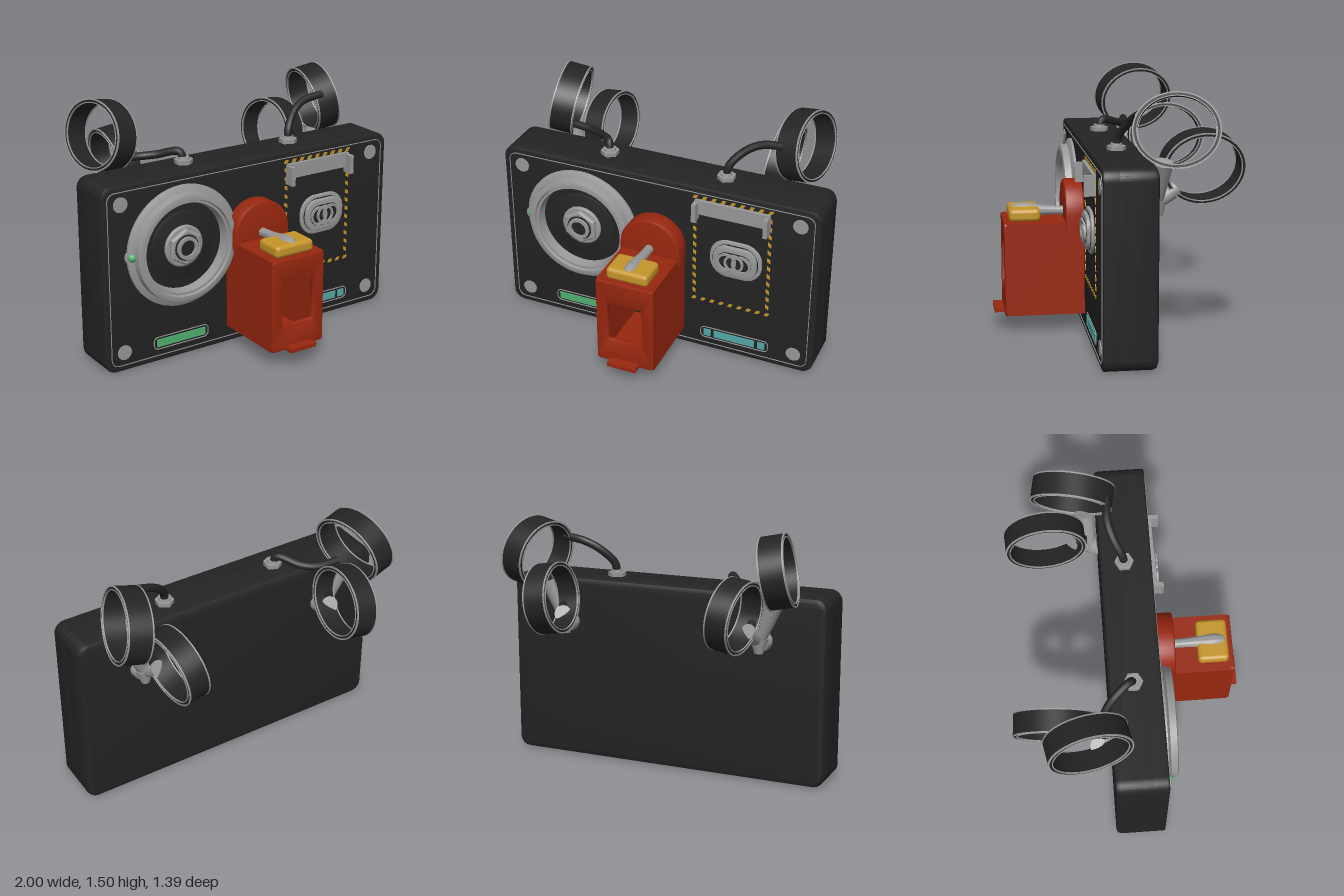
import * as THREE from 'three';
import { toCreasedNormals } from 'three/addons/utils/BufferGeometryUtils.js';
import { RoundedBoxGeometry } from 'three/addons/geometries/RoundedBoxGeometry.js';

const paint = (name, color) => {
  const m = new THREE.MeshStandardMaterial({ color });
  m.name = name;
  return m;
};
const V = (x, y, z) => new THREE.Vector3(x, y, z);
const FACE = 0.16; // z of the front panel

// Rounded rectangle centred on (cx, cy)
function roundRect(w, h, r, cx = 0, cy = 0, Type = THREE.Shape) {
  const s = new Type(), x = w / 2 - r, y = h / 2 - r;
  s.absarc(cx + x, cy + y, r, 0, Math.PI / 2);
  s.absarc(cx - x, cy + y, r, Math.PI / 2, Math.PI);
  s.absarc(cx - x, cy - y, r, Math.PI, Math.PI * 1.5);
  s.absarc(cx + x, cy - y, r, Math.PI * 1.5, Math.PI * 2);
  s.closePath();
  return s;
}

// Extrusion spanning z0..z1, bevelled inwards by b
function slab(shape, z0, z1, b = 0, bt = b) {
  const g = new THREE.ExtrudeGeometry(shape, {
    depth: z1 - z0 - 2 * bt, bevelEnabled: b > 0, bevelSize: b, bevelOffset: -b,
    bevelThickness: bt, bevelSegments: 2, curveSegments: 10,
  });
  return toCreasedNormals(g.translate(0, 0, z0 + bt), 0.6);
}

// Turned part facing +z, from [radius, height] pairs
function turned(points, segments = 48) {
  const g = new THREE.LatheGeometry(points.map(p => new THREE.Vector2(...p)), segments);
  return toCreasedNormals(g.rotateX(Math.PI / 2), 0.5);
}

export function createModel() {
  const model = new THREE.Group();
  model.name = 'controlBox';
  const black = paint('black', 0x242424);
  const grey = paint('grey', 0x989898);
  const red = paint('red', 0x98270f);
  const yellow = paint('yellow', 0xc4952a);
  const green = paint('green', 0x50b070);
  const teal = paint('teal', 0x52a8a6);

  const add = (name, geo, mat, x = 0, y = 0, z = 0, parent = model) => {
    const m = new THREE.Mesh(geo, mat);
    m.name = name;
    m.position.set(x, y, z);
    parent.add(m);
    return m;
  };
  const box = (name, mat, x0, x1, y0, y1, z0, z1) =>
    add(name, new THREE.BoxGeometry(x1 - x0, y1 - y0, z1 - z0), mat, (x0 + x1) / 2, (y0 + y1) / 2, (z0 + z1) / 2);
  const rod = (name, mat, a, b, r0, r1, sides = 20) => {
    const m = add(name, new THREE.CylinderGeometry(r1, r0, a.distanceTo(b), sides), mat);
    m.position.copy(a).lerp(b, 0.5);
    m.quaternion.setFromUnitVectors(V(0, 1, 0), b.clone().sub(a).normalize());
    return m;
  };
  const outline = (name, mat, w, h, r, t, x, y) => {
    const s = roundRect(w, h, r);
    s.holes.push(roundRect(w - 2 * t, h - 2 * t, r - t, 0, 0, THREE.Path));
    add(name, slab(s, 0, 0.004), mat, x, y, FACE);
  };

  // Case: deep chamfer at the back, fine bevel at the front
  add('caseBack', slab(roundRect(2, 1.12, 0.07), -0.145, 0.1, 0.03), black, 0, 0.56);
  add('caseFront', slab(roundRect(2, 1.12, 0.07), 0, FACE, 0.012), black, 0, 0.56);
  outline('panelLine', grey, 1.93, 1.05, 0.05, 0.004, 0, 0.56);
  for (const x of [-0.88, 0.88]) for (const y of [0.115, 1.01])
    add('screw', turned([[0.045, 0], [0.045, 0.005], [0, 0.006]], 24), grey, x, y, FACE);

  // Round dial with a threaded socket in the middle
  const dx = -0.485, dy = 0.69;
  add('dialRing', turned([[0.365, 0], [0.365, 0.015], [0.345, 0.025], [0.33, 0.03], [0.325, 0.07], [0.315, 0.075],
    [0.29, 0.075], [0.285, 0.06], [0.27, 0.06], [0.26, 0.0]], 72), grey, dx, dy, FACE);
  add('dialPlate', turned([[0.21, 0], [0.21, 0.008], [0.2, 0.012], [0, 0.012]]), black, dx, dy, FACE);
  add('socketWasher', turned([[0.125, 0], [0.125, 0.022], [0.115, 0.028], [0, 0.028]]), grey, dx, dy, FACE);
  add('socketNut', turned([[0.112, 0], [0.112, 0.045], [0.1, 0.052], [0, 0.052]], 6), grey, dx, dy, FACE);
  add('socketGroove', turned([[0.078, 0], [0.078, 0.055], [0, 0.055]]), black, dx, dy, FACE);
  add('socketTube', turned([[0.068, 0], [0.068, 0.07], [0.048, 0.07], [0.048, 0.05]]), grey, dx, dy, FACE);
  add('lampBezel', turned([[0.042, 0], [0.042, 0.015], [0, 0.018]], 24), grey, -0.822, dy, FACE);
  add('lamp', new THREE.SphereGeometry(0.027, 20, 12), green, -0.822, dy, FACE + 0.015);

  // Dashed warning border
  const [bx0, bx1, by0, by1] = [0.243, 0.703, 0.353, 1.058];
  const dash = new THREE.Shape([[-0.018, -0.01], [0.006, -0.01], [0.018, 0.01], [-0.006, 0.01]].map(p => new THREE.Vector2(...p)));
  const dashGeo = slab(dash, 0, 0.005);
  for (let i = 0; i < 9; i++) for (const y of [by0, by1])
    add('borderDash', dashGeo, yellow, bx0 + (bx1 - bx0) * i / 8, y, FACE);
  for (let i = 1; i < 13; i++) for (const x of [bx0, bx1])
    add('borderDash', dashGeo, yellow, x, by0 + (by1 - by0) * i / 13, FACE).rotation.z = Math.PI / 2;

  // Slot bracket
  box('bracketBar', grey, 0.245, 0.7, 0.955, 1.045, FACE, 0.182);
  for (const x of [0.255, 0.69]) box('bracketTab', grey, x - 0.013, x + 0.013, 0.92, 1.035, FACE, 0.225);

  // Oblong port with overlapping rings
  const px = 0.505, py = 0.69;
  add('portFlange', slab(roundRect(0.32, 0.25, 0.11), 0, 0.02, 0.008), grey, px, py, FACE);
  add('portGroove', slab(roundRect(0.28, 0.21, 0.1), 0, 0.023), black, px, py, FACE);
  add('portCollar', slab(roundRect(0.268, 0.198, 0.08), 0, 0.042, 0.008), grey, px, py, FACE);
  add('portInset', slab(roundRect(0.21, 0.13, 0.064), 0, 0.044), black, px, py, FACE);
  for (const x of [-0.045, 0, 0.045])
    add('portRing', turned([[0.06, 0], [0.06, 0.055], [0.046, 0.055], [0.046, 0.04]], 32), grey, px + x, py, FACE);

  // Indicator bars
  outline('greenBarFrame', grey, 0.375, 0.08, 0.03, 0.005, -0.5, 0.115);
  box('greenBar', green, -0.665, -0.335, 0.092, 0.138, FACE, 0.167);
  outline('tealBarFrame', grey, 0.435, 0.08, 0.03, 0.005, 0.505, 0.115);
  for (const [a, b] of [[0.31, 0.355], [0.375, 0.635], [0.655, 0.7]])
    box('tealBar', teal, a, b, 0.092, 0.138, FACE, 0.167);

  // Arched red backplate
  const arch = new THREE.Shape();
  arch.moveTo(-0.19, 0.62);
  arch.lineTo(0.19, 0.62);
  arch.lineTo(0.19, 0.7);
  arch.absarc(0, 0.7, 0.19, 0, Math.PI);
  arch.closePath();
  add('archPlate', slab(arch, FACE, 0.27, 0.012), red);

  // Hollow red housing with a window in front
  const front = roundRect(0.36, 0.56, 0.02, 0, 0.385);
  front.holes.push(roundRect(0.21, 0.255, 0.004, 0, 0.388, THREE.Path));
  add('housingFront', slab(front, 0.6, 0.63, 0.008), red);
  for (const s of [-1, 1]) box('housingSide', red, s * 0.165 - 0.015, s * 0.165 + 0.015, 0.107, 0.663, FACE, 0.615);
  box('housingTop', red, -0.165, 0.165, 0.635, 0.664, FACE, 0.615);
  box('housingFloor', red, -0.165, 0.165, 0.106, 0.13, FACE, 0.615);
  box('housingTab', red, -0.09, 0.09, 0.108, 0.132, 0.6, 0.69);

  // Yellow pad and lever
  add('leverPad', new RoundedBoxGeometry(0.26, 0.075, 0.185, 4, 0.025), yellow, 0, 0.698, 0.505);
  const lever = add('lever', turned([[0.028, 0], [0.027, 0.05], [0.03, 0.12], [0.04, 0.2], [0.043, 0.25],
    [0.04, 0.29], [0.025, 0.32], [0, 0.33]], 28), grey, 0, 0.7, 0.26);
  lever.rotation.x = -0.04;

  // Two tilted hoops on each side, with their back mounts
  const ring = pts => {
    const g = new THREE.LatheGeometry(pts.map(p => new THREE.Vector2(...p)), 64);
    return toCreasedNormals(g.rotateZ(-Math.PI / 2).scale(1, 1, 1.16), 0.5);
  };
  const section = (r0, r1, a, b) => [[r1, a], [r1, b], [r0, b], [r0, a], [r1, a]];
  const hoop = (s, h, centre, axis) => {
    const g = new THREE.Group();
    g.name = 'hoop';
    g.position.copy(centre);
    g.quaternion.setFromUnitVectors(V(s, 0, 0), axis.normalize());
    model.add(g);
    add('hoopBand', ring(section(0.186, 0.205, -h, h)), black, 0, 0, 0, g);
    for (const e of [-h, h]) {
      add('hoopOuterEdge', ring(section(0.2, 0.2075, e - 0.004, e + 0.004)), grey, 0, 0, 0, g);
      add('hoopInnerEdge', ring(section(0.183, 0.188, e - 0.004, e + 0.004)), grey, 0, 0, 0, g);
    }
  };
  for (const s of [-1, 1]) {
    hoop(s, 0.068, V(s * 0.757, 1.282, -0.275), V(s, 0.2, 0.2));
    hoop(s, 0.064, V(s * 0.57, 1.053, -0.455), V(s, -0.14, -0.07));
    rod('mountFoot', grey, V(s * 0.62, 0.85, -0.14), V(s * 0.62, 0.84, -0.19), 0.065, 0.05);
    rod('mountTip', grey, V(s * 0.62, 0.87, -0.19), V(s * 0.62, 0.785, -0.2), 0.055, 0.025);
    rod('upperStem', grey, V(s * 0.62, 0.85, -0.19), V(s * 0.72, 1.1, -0.21), 0.032, 0.055);
    rod('lowerStem', grey, V(s * 0.62, 0.85, -0.18), V(s * 0.585, 0.93, -0.3), 0.035, 0.05);
    rod('mountKnob', black, V(s * 0.6, 0.96, -0.21), V(s * 0.6, 0.97, -0.27), 0.028, 0.028, 6);

    // Cable gland on top
    rod('cableNut', grey, V(s * 0.37, 1.115, 0), V(s * 0.37, 1.145, 0), 0.056, 0.056, 6);
    rod('cableCollar', grey, V(s * 0.37, 1.14, 0), V(s * 0.37, 1.16, 0), 0.036, 0.033);
  }

  // Cables
  const cable = (name, pts) =>
    add(name, new THREE.TubeGeometry(new THREE.CatmullRomCurve3(pts), 32, 0.024, 12), black);
  cable('leftCable', [V(0.37, 1.13, 0), V(0.38, 1.2, -0.01), V(0.46, 1.29, -0.06), V(0.55, 1.335, -0.085), V(0.68, 1.355, -0.08)]);
  cable('rightCable', [V(-0.37, 1.13, 0), V(-0.385, 1.185, -0.02), V(-0.48, 1.155, -0.13), V(-0.56, 1.145, -0.18), V(-0.7, 1.15, -0.2)]);

  return model;
}
